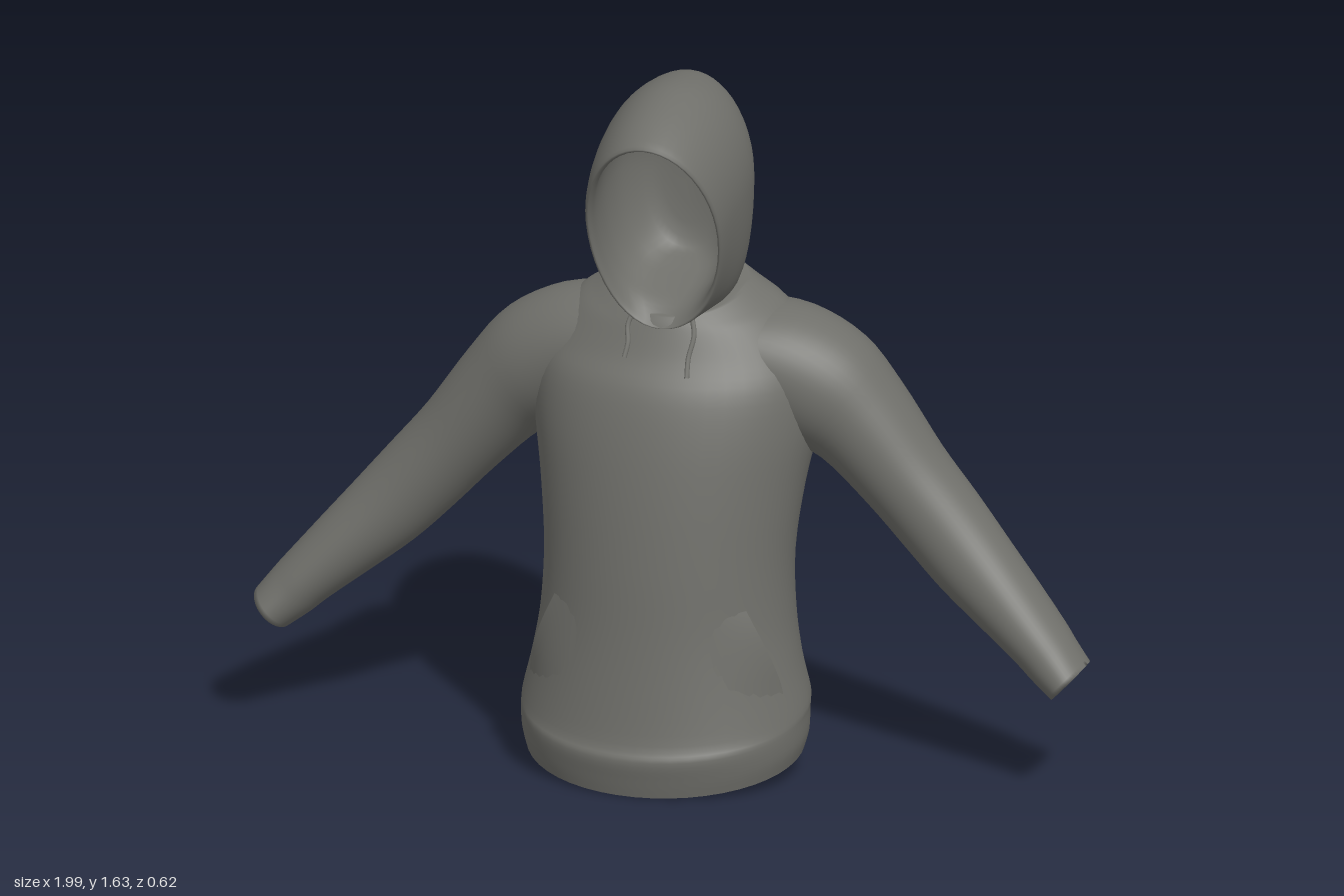
import * as THREE from 'three';

const SEG = 48;

// Smooth interpolation of a table of rows at position t (0 .. rows - 1)
function sample(rows, t) {
  const i = Math.min(Math.floor(t), rows.length - 2), f = t - i;
  const at = k => rows[Math.max(0, Math.min(rows.length - 1, k))];
  const [a, b, c, d] = [at(i - 1), at(i), at(i + 1), at(i + 2)];
  return b.map((_, k) => b[k] + 0.5 * f * (c[k] - a[k]
    + f * (2 * a[k] - 5 * b[k] + 4 * c[k] - d[k] + f * (3 * (b[k] - c[k]) + d[k] - a[k]))));
}

// Surface through rings that run counter-clockwise about the travel direction
function loft(rings, { closed = true, capStart = false, capEnd = false } = {}) {
  const n = rings[0].length, last = (rings.length - 1) * n, idx = [];
  for (let i = 0; i < last; i += n) {
    for (let j = 0; j < (closed ? n : n - 1); j++) {
      const a = i + j, b = i + (j + 1) % n;
      idx.push(a, b, a + n, b, b + n, a + n);
    }
  }
  for (let j = 1; j < n - 1; j++) {
    if (capStart) idx.push(0, j + 1, j);
    if (capEnd) idx.push(last, last + j, last + j + 1);
  }
  const g = new THREE.BufferGeometry();
  g.setAttribute('position', new THREE.Float32BufferAttribute(rings.flat(2), 3));
  g.setIndex(idx);
  g.computeVertexNormals();
  return g;
}

function ringsFrom(rows, sub, makePoint) {
  const rings = [], count = (rows.length - 1) * sub;
  for (let i = 0; i <= count; i++) {
    const p = sample(rows, i / sub), ring = [];
    for (let j = 0; j < SEG; j++) ring.push(makePoint(p, j / SEG * Math.PI * 2, i / sub));
    rings.push(ring);
  }
  return rings;
}

// Torso rows: height, tilt, half width, front z, back z, side z
const TORSO = [
  [0.058, 0.198, 0.325, 0.295, -0.235, 0.03],
  [0.10, 0.20, 0.336, 0.303, -0.233, 0.03],
  [0.15, 0.20, 0.338, 0.31, -0.227, 0.03],
  [0.18, 0.19, 0.337, 0.294, -0.242, 0.025],
  [0.27, 0.10, 0.315, 0.274, -0.236, 0.02],
  [0.38, 0.05, 0.298, 0.258, -0.236, 0.01],
  [0.52, 0, 0.293, 0.243, -0.25, 0],
  [0.68, 0, 0.31, 0.222, -0.28, -0.03],
  [0.82, 0, 0.335, 0.195, -0.305, -0.07],
  [0.93, 0, 0.34, 0.16, -0.305, -0.10],
  [1.00, 0.05, 0.315, 0.115, -0.285, -0.11],
  [1.065, 0.15, 0.255, 0.085, -0.25, -0.11],
  [1.095, 0.25, 0.20, 0.073, -0.22, -0.10],
  [1.115, 0.35, 0.16, 0.062, -0.198, -0.09],
];

function torsoPoint([y, tilt, hw, front, back, side], a) {
  const s = -Math.sin(a);
  const z = side + (s > 0 ? front - side : side - back) * s;
  return [hw * Math.cos(a), y - tilt * z, z];
}

// Depth of the torso front at a given x and y
function torsoFront(x, y) {
  let lo = 0, hi = TORSO.length - 1, p;
  for (let k = 0; k < 24; k++) {
    const t = (lo + hi) / 2, row = sample(TORSO, t);
    p = torsoPoint(row, -Math.acos(Math.max(-1, Math.min(1, x / row[2]))));
    if (p[1] < y) lo = t; else hi = t;
  }
  return p[2];
}

// Hood rows: top, bottom, half width, widest height, top z, bottom z, roundness.
// They run from the inside back, out over the lip and round to the outer back.
const HOOD = [
  [1.372, 1.368, 0.002, 1.37, -0.178, -0.178, 1],
  [1.50, 1.21, 0.09, 1.37, -0.165, -0.16, 0.9],
  [1.57, 1.17, 0.14, 1.39, -0.10, -0.10, 0.6],
  [1.585, 1.145, 0.157, 1.37, 0.0, -0.03, 0.6],
  [1.56, 1.12, 0.155, 1.34, 0.12, 0.03, 0.75],
  [1.542, 1.078, 0.150, 1.32, 0.205, 0.068, 1],
  [1.556, 1.066, 0.162, 1.33, 0.217, 0.076, 0.95],
  [1.60, 1.08, 0.174, 1.36, 0.12, 0.03, 0.65],
  [1.628, 1.08, 0.180, 1.38, 0.0, -0.04, 0.5],
  [1.628, 1.08, 0.172, 1.40, -0.10, -0.11, 0.5],
  [1.613, 1.09, 0.138, 1.41, -0.178, -0.17, 0.5],
  [1.57, 1.13, 0.085, 1.40, -0.215, -0.198, 0.6],
  [1.402, 1.398, 0.002, 1.40, -0.226, -0.226, 1],
];

function hoodPoint([top, bot, hw, wide, zTop, zBot, power], a) {
  const c = Math.cos(a), s = -Math.sin(a);
  const y = wide + (s > 0 ? top - wide : wide - bot) * s;
  const u = Math.max(0, (y - bot) / (top - bot));
  const x = s > 0 ? c : Math.sign(c) * Math.pow(Math.abs(c), power);
  return [hw * x, y, zBot + (zTop - zBot) * Math.pow(u, 1.4)];
}

// Sleeve rows: centre x, y, z, half thickness, half depth
const SLEEVE = [
  [0.13, 0.985, -0.11, 0.12, 0.165],
  [0.24, 0.945, -0.12, 0.148, 0.166],
  [0.34, 0.89, -0.122, 0.151, 0.154],
  [0.425, 0.82, -0.123, 0.126, 0.134],
  [0.53, 0.70, -0.117, 0.108, 0.116],
  [0.62, 0.60, -0.108, 0.103, 0.108],
  [0.70, 0.515, -0.092, 0.097, 0.102],
  [0.79, 0.43, -0.07, 0.084, 0.098],
  [0.873, 0.352, -0.046, 0.071, 0.092],
  [0.91, 0.315, -0.032, 0.066, 0.086],
  [0.955, 0.272, -0.018, 0.057, 0.087],
];

function sleeveGeometry(side) {
  const rings = ringsFrom(SLEEVE, 4, ([x, y, z, thick, deep], a, t) => {
    const p = sample(SLEEVE, Math.max(0, t - 0.3));
    const q = sample(SLEEVE, Math.min(SLEEVE.length - 1, t + 0.3));
    const dx = q[0] - p[0], dy = q[1] - p[1], len = Math.hypot(dx, dy);
    const c = Math.cos(a) * thick / len, s = Math.sin(a * side) * deep;
    return [side * (x - dy * c), y + dx * c, z + s];
  });
  return loft(rings, { capEnd: true });
}

// Front pocket that lifts off the torso along its two slanted openings
function pocketGeometry() {
  const rows = [];
  for (let i = 0; i <= 14; i++) {
    const v = i / 14, y = 0.21 + 0.23 * v, row = [];
    const half = 0.305 - 0.08 * Math.pow(v, 1.3);
    for (let j = 0; j <= 32; j++) {
      const u = j / 16 - 1, x = u * half;
      const lift = 0.02 * Math.pow(Math.abs(u), 4) * Math.sin(Math.PI * v) - 0.003;
      row.push([x * (1 + lift), y, torsoFront(x, y) + lift]);
    }
    rows.push(row);
  }
  return loft(rows, { closed: false });
}

export function createModel() {
  const model = new THREE.Group();
  model.name = 'hoodedSweatshirt';
  const fabric = new THREE.MeshStandardMaterial({ color: 0x6f6f6a, side: THREE.DoubleSide });
  fabric.name = 'grey fabric';
  const dark = new THREE.MeshStandardMaterial({ color: 0x3c3c3c });
  dark.name = 'dark lining';
  const add = (name, geometry, material = fabric) => {
    const mesh = new THREE.Mesh(geometry, material);
    mesh.name = name;
    model.add(mesh);
  };

  const torsoRings = ringsFrom(TORSO, 4, torsoPoint);
  add('torso', loft(torsoRings, { capEnd: true }));
  add('hemLining', loft([torsoRings[0]], { capStart: true }), dark);
  add('hood', loft(ringsFrom(HOOD, 4, hoodPoint), { capStart: true, capEnd: true }));
  add('leftSleeve', sleeveGeometry(1));
  add('rightSleeve', sleeveGeometry(-1));
  add('frontPocket', pocketGeometry());

  // Drawstrings hanging from the base of the hood
  for (const [name, side, end] of [['leftDrawstring', 1, 0.97], ['rightDrawstring', -1, 1.0]]) {
    const points = [0, 0.35, 0.7, 1].map((t, i) => {
      const x = [0.066, 0.08, 0.074, 0.078][i], y = 1.105 + (end - 1.105) * t;
      return new THREE.Vector3(side * x, y, torsoFront(x, y) + 0.003);
    });
    add(name, new THREE.TubeGeometry(new THREE.CatmullRomCurve3(points), 16, 0.006, 8));
  }
  return model;
}
